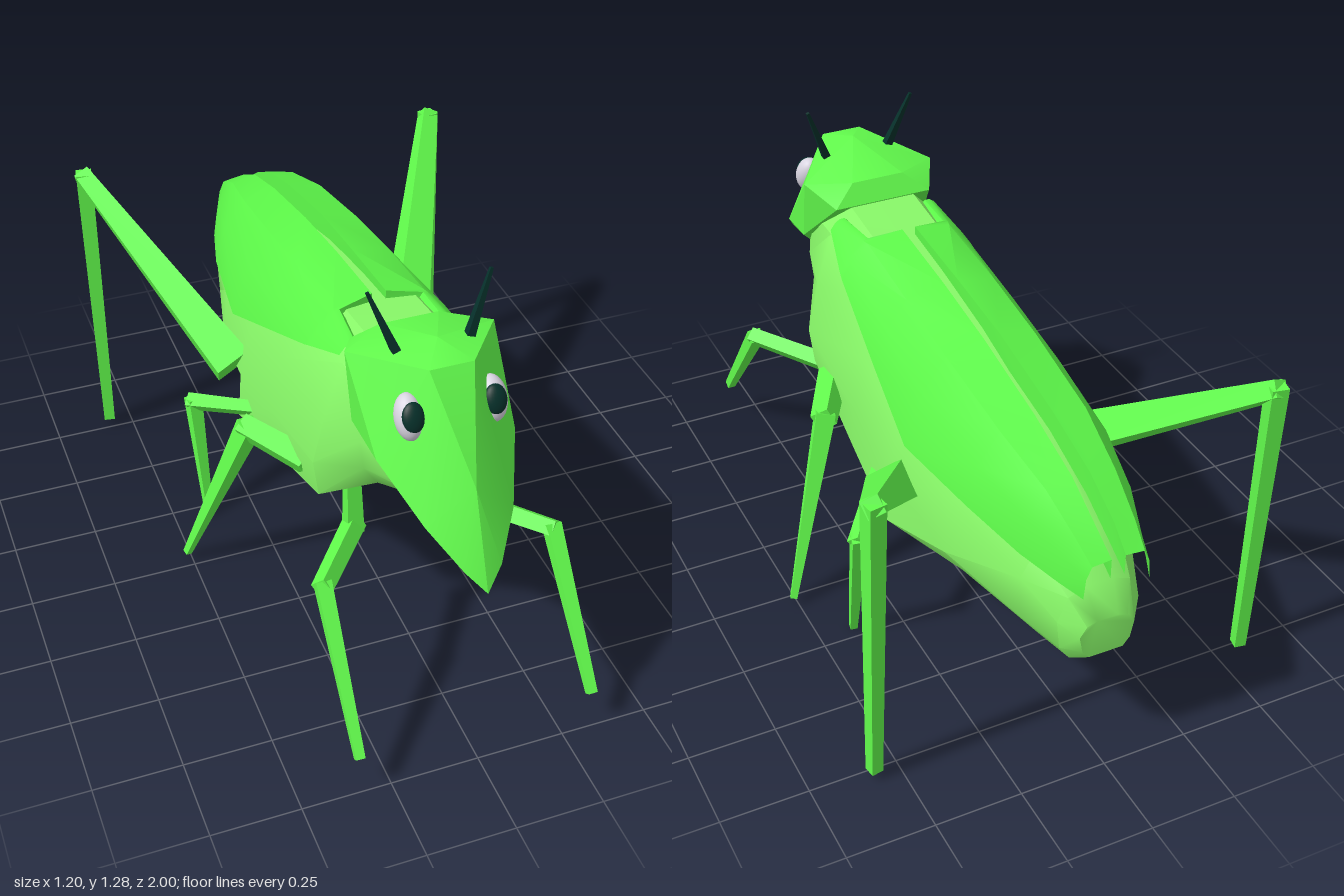
import * as THREE from 'three';
import { toCreasedNormals } from 'three/addons/utils/BufferGeometryUtils.js';
import { ConvexGeometry } from 'three/addons/geometries/ConvexGeometry.js';

const paint = (color, side = THREE.FrontSide) => new THREE.MeshStandardMaterial({ color, side });
const green = paint(0x62fc4c);
const wingGreen = paint(0x5cf648, THREE.DoubleSide);
const lightGreen = paint(0x88f868);
const white = paint(0xd8d4e0);
const dark = paint(0x06302a);

function part(name, geometry, material, parent) {
  const mesh = new THREE.Mesh(geometry, material);
  mesh.name = name;
  parent.add(mesh);
  return mesh;
}

// Skin a list of { z, pts } cross-sections running from front to back.
function loft(sections, closed) {
  const n = sections[0].pts.length;
  const pos = sections.flatMap(({ z, pts }) => pts.flatMap(([x, y]) => [x, y, z]));
  const index = [];
  for (let i = 0; i < sections.length - 1; i++) {
    for (let j = 0; j < (closed ? n : n - 1); j++) {
      const a = i * n + j, b = i * n + (j + 1) % n;
      index.push(a, b, a + n, b, b + n, a + n);
    }
  }
  if (closed) {
    const last = (sections.length - 1) * n;
    for (let k = 1; k < n - 1; k++) index.push(0, k + 1, k, last, last + k, last + k + 1);
  }
  const geo = new THREE.BufferGeometry();
  geo.setAttribute('position', new THREE.Float32BufferAttribute(pos, 3));
  geo.setIndex(index);
  return toCreasedNormals(geo, 0.6);
}

// Half section, mirrored into a full ring.
const mirrorRing = half => [...half, ...half.map(([x, y]) => [-x, y]).reverse()];

// Four-sided tapered bar between two points.
function bar(name, a, b, ra, rb, material, parent, extend = 0.4) {
  const from = new THREE.Vector3(...a), to = new THREE.Vector3(...b);
  const dir = to.clone().sub(from).normalize();
  from.addScaledVector(dir, -ra * extend);
  to.addScaledVector(dir, rb * extend);
  const geo = new THREE.CylinderGeometry(rb, ra, from.distanceTo(to), 4).rotateY(Math.PI / 4);
  const mesh = part(name, toCreasedNormals(geo, 0.5), material, parent);
  mesh.position.copy(from).add(to).multiplyScalar(0.5);
  mesh.quaternion.setFromUnitVectors(new THREE.Vector3(0, 1, 0), dir);
}

// Chain of bars; each joint is [x, y, z, radius].
function leg(name, joints, parent) {
  const group = new THREE.Group();
  group.name = name;
  for (let i = 0; i < joints.length - 1; i++) {
    const [a, b] = [joints[i], joints[i + 1]];
    bar(`${name}Segment${i + 1}`, a.slice(0, 3), b.slice(0, 3), a[3], b[3], green, group);
  }
  parent.add(group);
}

// Wing, eye, antenna and legs for the +x side.
function createSide(name) {
  const side = new THREE.Group();
  side.name = name;

  // folded wing: inner lip, inner edge, ridge, bulge, outer edge
  part('wing', loft([
    { z: 0.4, pts: [[0.12, 1.0], [0.13, 1.01], [0.145, 1.01], [0.16, 1.0], [0.175, 0.98]] },
    { z: 0.25, pts: [[0.11, 1.0], [0.12, 1.015], [0.135, 1.01], [0.18, 0.965], [0.21, 0.92]] },
    { z: 0.23, pts: [[0.02, 0.99], [0.02, 1.03], [0.13, 1.01], [0.18, 0.96], [0.213, 0.91]] },
    { z: -0.05, pts: [[0.02, 0.95], [0.022, 1.0], [0.135, 0.975], [0.2, 0.89], [0.24, 0.79]] },
    { z: -0.3, pts: [[0.02, 0.9], [0.025, 0.965], [0.135, 0.935], [0.21, 0.83], [0.26, 0.68]] },
    { z: -0.6, pts: [[0.02, 0.84], [0.025, 0.9], [0.125, 0.88], [0.19, 0.79], [0.222, 0.675]] },
    { z: -0.8, pts: [[0.02, 0.77], [0.025, 0.84], [0.1, 0.825], [0.15, 0.75], [0.17, 0.645]] },
    { z: -0.93, pts: [[0.02, 0.7], [0.025, 0.77], [0.085, 0.76], [0.11, 0.7], [0.125, 0.63]] },
    { z: -1.0, pts: [[0.02, 0.66], [0.02, 0.72], [0.075, 0.715], [0.09, 0.68], [0.095, 0.62]] },
  ], false), wingGreen, side);

  // eye with pupil
  const eye = new THREE.Group();
  eye.name = 'eye';
  eye.position.set(0.112, 1.0, 0.728);
  eye.rotation.x = -0.45;
  part('eyeball', new THREE.SphereGeometry(1, 24, 16), white, eye).scale.set(0.038, 0.062, 0.04);
  const pupil = part('pupil', new THREE.SphereGeometry(1, 24, 16), dark, eye);
  pupil.scale.set(0.03, 0.04, 0.018);
  pupil.position.set(-0.002, 0.002, 0.027);
  side.add(eye);

  bar('antenna', [0.095, 1.1, 0.605], [0.165, 1.28, 0.572], 0.017, 0.006, dark, side, 0);

  leg('frontLeg', [[0.165, 0.6, 0.47, 0.028], [0.165, 0.46, 0.48, 0.034],
    [0.33, 0.48, 0.7, 0.03], [0.335, 0.13, 0.985, 0.018]], side);
  leg('middleLeg', [[0.235, 0.555, 0.28, 0.045], [0.34, 0.555, 0.09, 0.04],
    [0.51, 0.035, -0.035, 0.014]], side);
  leg('rearLeg', [[0.25, 0.465, -0.1, 0.025], [0.4, 0.395, -0.29, 0.03],
    [0.393, 0.015, -0.21, 0.015]], side);
  leg('hindLeg', [[0.29, 0.54, -0.28, 0.08], [0.57, 0.935, -0.81, 0.034],
    [0.573, 0.04, -0.775, 0.024]], side);
  return side;
}

export function createModel() {
  const model = new THREE.Group();
  model.name = 'grasshopper';

  // body from throat to tail
  part('body', loft([
    { z: 0.74, half: [[0.05, 0.95], [0.1, 0.85], [0.11, 0.79], [0.09, 0.75], [0.04, 0.73]] },
    { z: 0.57, half: [[0.07, 1.02], [0.16, 0.95], [0.18, 0.82], [0.17, 0.73], [0.13, 0.67]] },
    { z: 0.41, half: [[0.1, 1.03], [0.17, 0.96], [0.22, 0.8], [0.255, 0.65], [0.24, 0.535]] },
    { z: 0.05, half: [[0.1, 0.98], [0.16, 0.92], [0.23, 0.75], [0.265, 0.58], [0.265, 0.44]] },
    { z: -0.21, half: [[0.08, 0.93], [0.16, 0.85], [0.235, 0.68], [0.27, 0.52], [0.28, 0.37]] },
    { z: -0.5, half: [[0.06, 0.85], [0.15, 0.77], [0.22, 0.63], [0.235, 0.45], [0.18, 0.367]] },
    { z: -0.8, half: [[0.05, 0.66], [0.12, 0.64], [0.165, 0.56], [0.16, 0.43], [0.11, 0.358]] },
    { z: -0.92, half: [[0.04, 0.58], [0.09, 0.56], [0.12, 0.49], [0.11, 0.4], [0.08, 0.355]] },
    { z: -0.97, half: [[0.03, 0.5], [0.06, 0.49], [0.08, 0.46], [0.07, 0.41], [0.05, 0.385]] },
  ].map(({ z, half }) => ({ z, pts: mirrorRing(half) })), true), lightGreen, model);

  // wedge-shaped head
  const half = [
    [0, 0.61, 1], [0, 0.61, 0.93], [0, 0.87, 0.9], [0.06, 1.125, 0.725], [0, 1.148, 0.63],
    [0.08, 1.09, 0.45], [0.15, 1.035, 0.41], [0.205, 1.08, 0.52], [0.2, 0.89, 0.56],
    [0.19, 0.87, 0.71], [0.12, 0.755, 0.87], [0.05, 0.665, 0.965],
  ];
  const corners = half.flatMap(([x, y, z]) => (x ? [x, -x] : [0]).map(s => new THREE.Vector3(s, y, z)));
  part('head', toCreasedNormals(new ConvexGeometry(corners), 0.4), green, model);

  const left = createSide('leftSide');
  const right = createSide('rightSide');
  right.scale.x = -1;
  model.add(left, right);
  return model;
}
